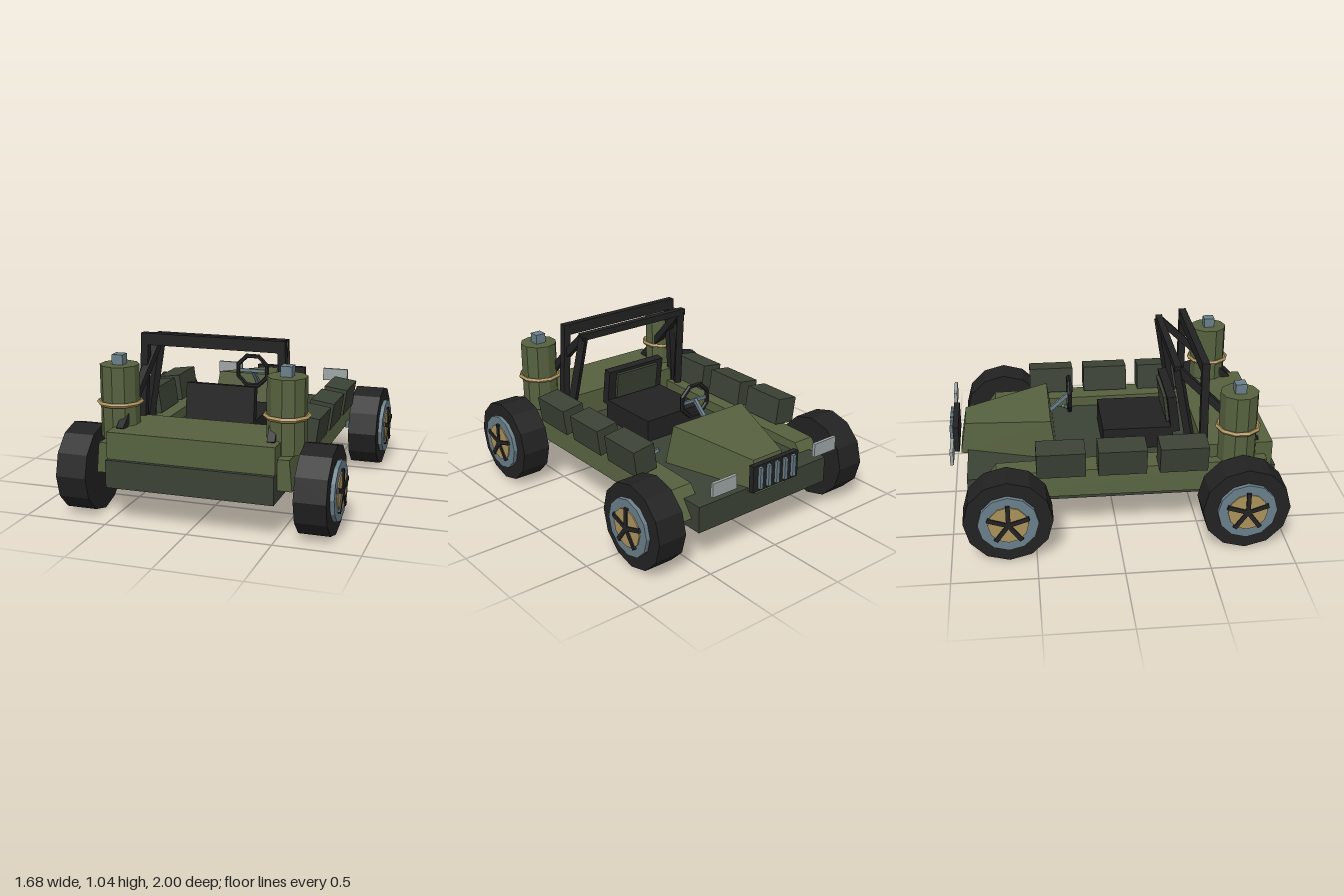
import * as THREE from 'three';

const mat = (name, color) => {
  const m = new THREE.MeshStandardMaterial({ color, flatShading: true });
  m.name = name;
  return m;
};

export function createModel() {
  const root = new THREE.Group();
  root.name = 'buggy';
  const olive = mat('olive', 0x56613f);
  const darkOlive = mat('dark olive', 0x3b4235);
  const black = mat('black', 0x222222);
  const steel = mat('steel', 0x6a7f8a);
  const brass = mat('brass', 0xab925c);
  const lamp = mat('lamp', 0x9ea6a6);

  const add = (name, geo, m, x = 0, y = 0, z = 0, parent = root) => {
    const mesh = new THREE.Mesh(geo, m);
    mesh.name = name;
    mesh.position.set(x, y, z);
    parent.add(mesh);
    return mesh;
  };
  const box = (name, m, w, h, d, x, y, z, parent) =>
    add(name, new THREE.BoxGeometry(w, h, d), m, x, y, z, parent);

  // Box whose corners are moved by a rule of their signs
  const wedge = (name, m, rule) => {
    const g = new THREE.BoxGeometry(2, 2, 2);
    const p = g.attributes.position;
    for (let i = 0; i < p.count; i++) p.setXYZ(i, ...rule(p.getX(i), p.getY(i), p.getZ(i)));
    g.computeVertexNormals();
    return add(name, g, m);
  };

  // Square bar between two points
  const bar = (name, m, a, b, t) => {
    const A = new THREE.Vector3(...a), B = new THREE.Vector3(...b);
    const mesh = box(name, m, t, t, A.distanceTo(B), 0, 0, 0);
    mesh.position.copy(A).add(B).multiplyScalar(0.5);
    mesh.lookAt(B);
    return mesh;
  };

  // Hull, rear deck and tapered hood
  box('hull', darkOlive, 1, 0.165, 1.865, 0, 0.2975, 0.0375);
  box('rearDeck', olive, 1, 0.16, 0.425, 0, 0.46, 0.7325);
  wedge('hood', olive, (sx, sy, sz) => {
    if (sz > 0) return sy > 0 ? [sx * 0.272, 0.625, -0.38] : [sx * 0.305, 0.37, -0.345];
    return sy > 0 ? [sx * 0.11, 0.555, -0.905] : [sx * 0.12, 0.355, -0.94];
  });

  // Grille with slats
  box('grille', black, 0.35, 0.165, 0.035, 0, 0.478, -0.962);
  for (let i = -2; i <= 2; i++) box('grilleSlat', steel, 0.022, 0.135, 0.02, i * 0.064, 0.482, -0.99);

  // Seat
  box('seatCushion', black, 0.43, 0.14, 0.44, 0, 0.45, 0.165);
  const back = new THREE.Group();
  back.name = 'seatBack';
  back.position.set(0, 0.605, 0.385);
  back.rotation.x = -0.13;
  root.add(back);
  box('backrest', black, 0.43, 0.24, 0.055, 0, 0, 0, back);
  box('backrestPad', darkOlive, 0.32, 0.17, 0.02, 0, 0.015, -0.037, back);

  // Steering wheel and column
  add('steeringWheel', new THREE.TorusGeometry(0.105, 0.015, 6, 8), black, 0, 0.675, -0.25)
    .rotation.z = Math.PI / 8;
  box('steeringSpoke', steel, 0.19, 0.02, 0.015, 0, 0.675, -0.25);
  bar('steeringColumn', steel, [0, 0.68, -0.25], [0, 0.57, -0.37], 0.022);

  // Roll cage cross bars
  box('rearHoopBar', black, 0.88, 0.07, 0.045, 0, 1.01, 0.53);
  bar('frontHoopBar', black, [-0.41, 1.0, 0.37], [0.41, 1.0, 0.37], 0.042);

  const wheel = (s, z) => {
    const g = new THREE.Group();
    g.name = 'wheel';
    g.position.set(s * 0.708, 0.262, z);
    root.add(g);
    const disc = (name, m, r, w, x, n) => {
      const c = new THREE.CylinderGeometry(r, r, w, n);
      c.rotateZ(Math.PI / 2);
      add(name, c, m, s * x, 0, 0, g);
    };
    disc('tyre', black, 0.262, 0.185, 0, 12);
    disc('rim', steel, 0.177, 0.06, 0.087, 12);
    disc('hub', brass, 0.118, 0.06, 0.094, 12);
    for (let i = 0; i < 5; i++) {
      const a = (i * 2 * Math.PI) / 5;
      box('spoke', black, 0.016, 0.128, 0.026, s * 0.124, Math.cos(a) * 0.064, Math.sin(a) * 0.064, g)
        .rotation.x = a;
    }
  };

  for (const s of [-1, 1]) {
    // Side sponson
    wedge('sponson', olive, (sx, sy, sz) => {
      const outer = s * sx > 0;
      const x = outer ? (sz > 0 ? 0.58 : 0.567) + (sy > 0 ? -0.012 : 0.005) : (sz > 0 ? 0.39 : 0.415);
      const z = sz > 0 ? 0.9 : sy > 0 ? -0.72 : -0.83;
      const y = sy > 0 ? (sz > 0 ? 0.46 : 0.435) : 0.28;
      return [s * x, y, z];
    });

    // Tilted storage boxes
    for (const z of [-0.34, 0.023, 0.388])
      box('storageBox', darkOlive, 0.147, 0.167, 0.288, s * 0.56, 0.528, z).rotation.z = -s * 0.14;

    // Fuel canister with strap and cap
    add('canister', new THREE.CylinderGeometry(0.115, 0.115, 0.43, 10), olive, s * 0.505, 0.675, 0.723);
    const strap = new THREE.TorusGeometry(0.123, 0.015, 5, 10);
    strap.rotateX(Math.PI / 2);
    strap.rotateY(Math.PI / 2);
    add('canisterStrap', strap, brass, s * 0.505, 0.667, 0.723);
    box('canisterCap', steel, 0.067, 0.065, 0.067, s * 0.505, 0.917, 0.723);

    // Roll cage legs and braces
    bar('rearHoopLeg', black, [s * 0.415, 1.03, 0.53], [s * 0.45, 0.45, 0.53], 0.046);
    bar('frontHoopLeg', black, [s * 0.388, 1.0, 0.37], [s * 0.445, 0.43, 0.47], 0.045);
    bar('cageBrace', black, [s * 0.39, 1.0, 0.37], [s * 0.45, 0.53, 0.85], 0.045);

    // Headlight and floor lever
    box('headlight', lamp, 0.175, 0.085, 0.02, s * 0.393, 0.517, -0.976);
    bar('lever', steel, [s * 0.345, 0.4, -0.24], [s * 0.3, 0.44, -0.275], 0.02);

    // Wheels and suspension arms
    wheel(s, -0.66);
    wheel(s, 0.738);
    bar('frontArm', steel, [s * 0.65, 0.25, -0.67], [s * 0.46, 0.32, -0.42], 0.045);
    bar('rearArm', steel, [s * 0.65, 0.25, 0.73], [s * 0.46, 0.29, 0.6], 0.045);
  }
  return root;
}
